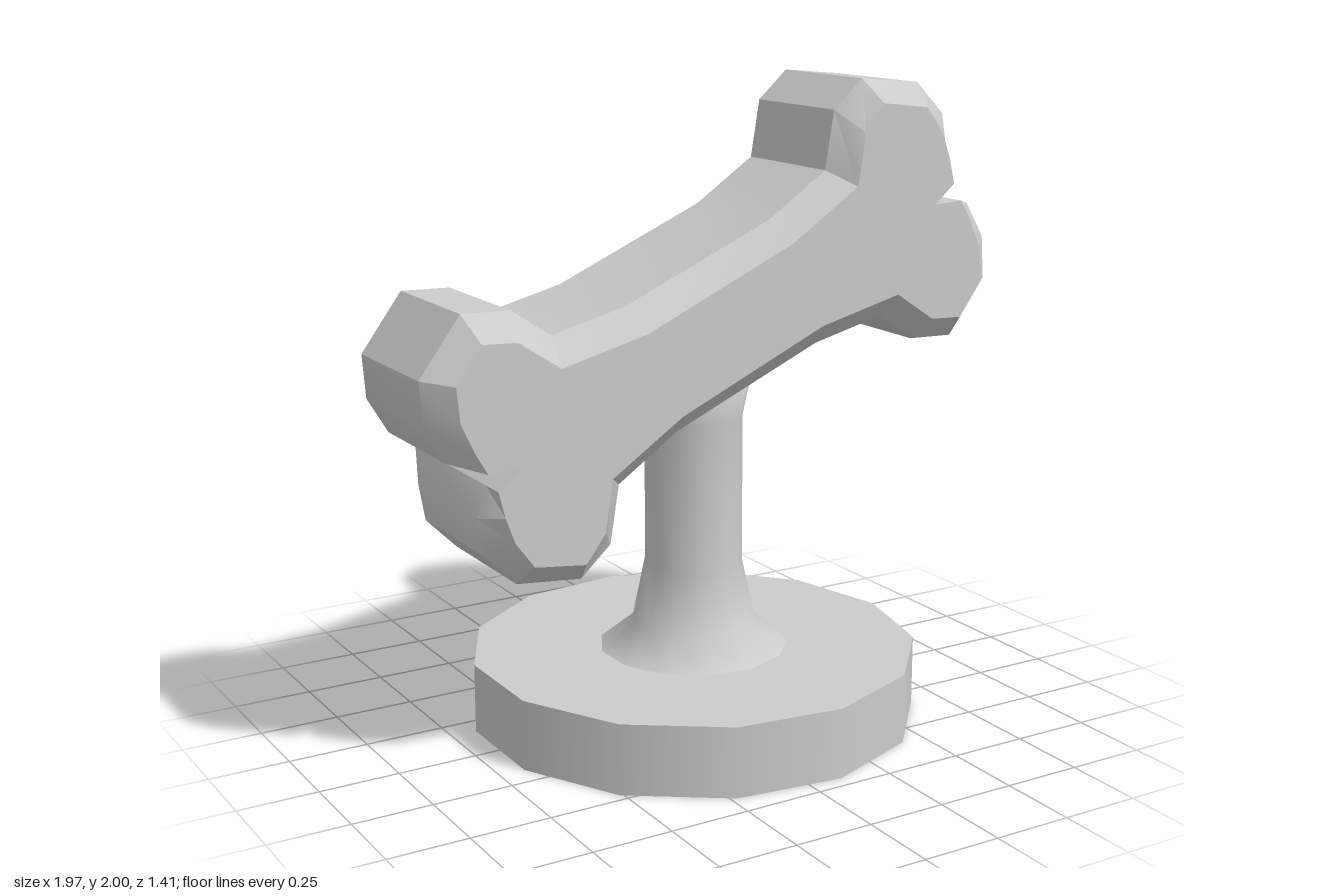
import * as THREE from 'three';
import { toCreasedNormals } from 'three/addons/utils/BufferGeometryUtils.js';

const SIDES = 13;

// Half of the bone outline about its centre: [outer x, outer y, face x, face y]
const HALF = [
  [0.72, 0.32, 0.72, 0.32],
  [0.79, 0.38, 0.79, 0.38],
  [0.82, 0.475, 0.77, 0.46],
  [0.80, 0.59, 0.74, 0.54],
  [0.70, 0.69, 0.68, 0.62],
  [0.49, 0.71, 0.515, 0.64],
  [0.39, 0.62, 0.45, 0.555],
  [0.36, 0.44, 0.425, 0.395],
  [0.16, 0.305, 0.19, 0.24],
  [-0.335, 0.09, -0.305, 0.02],
  [-0.575, 0.03, -0.585, -0.05],
  [-0.70, 0.115, -0.72, 0.04],
  [-0.855, 0.12, -0.83, 0.045],
  [-0.985, -0.055, -0.91, -0.065],
  [-0.975, -0.19, -0.90, -0.17],
  [-0.91, -0.30, -0.855, -0.265],
  [-0.82, -0.325, -0.82, -0.325],
];

function boneGeometry() {
  // The other half is the same outline turned by 180 degrees
  const outline = [...HALF, ...HALF.map((p) => p.map((v) => -v))];
  const n = outline.length;
  const outer = outline.map((p) => new THREE.Vector2(p[0], p[1]));
  const face = outline.map((p) => new THREE.Vector2(p[2], p[3]));
  const rings = [[face, -0.29], [outer, -0.207], [outer, 0.207], [face, 0.29]];

  const positions = [];
  const index = [];
  for (const [ring, z] of rings) for (const p of ring) positions.push(p.x, p.y, z);

  // Back bevel, rim and front bevel
  for (let r = 0; r < 3; r++) {
    for (let i = 0; i < n; i++) {
      const a = r * n + i;
      const b = r * n + ((i + 1) % n);
      index.push(a, b, b + n, a, b + n, a + n);
    }
  }
  // Flat front and back faces
  for (const [a, b, c] of THREE.ShapeUtils.triangulateShape(face, [])) {
    index.push(3 * n + a, 3 * n + b, 3 * n + c, c, b, a);
  }

  const geometry = new THREE.BufferGeometry();
  geometry.setAttribute('position', new THREE.Float32BufferAttribute(positions, 3));
  geometry.setIndex(index);
  return toCreasedNormals(geometry, 0.5);
}

export function createModel() {
  const group = new THREE.Group();
  const material = new THREE.MeshStandardMaterial({ color: 0xcccccc });

  const add = (name, geometry, x, y) => {
    const mesh = new THREE.Mesh(geometry, material);
    mesh.name = name;
    mesh.position.set(x, y, 0);
    group.add(mesh);
  };

  // Round plinth
  add('base', new THREE.CylinderGeometry(0.71, 0.71, 0.22, SIDES, 1, false, Math.PI / 2), 0.02, 0.11);

  // Post flared at both ends, its top buried in the bone
  const profile = [[0.3, 0.22], [0.195, 0.305], [0.155, 0.5], [0.155, 0.97], [0.195, 1.16], [0, 1.2]]
    .map(([r, y]) => new THREE.Vector2(r, y));
  add('post', new THREE.LatheGeometry(profile, SIDES, Math.PI / 2), 0.02, 0);

  // Tilted bevelled bone
  add('bone', boneGeometry(), 0, 1.29);

  return group;
}
